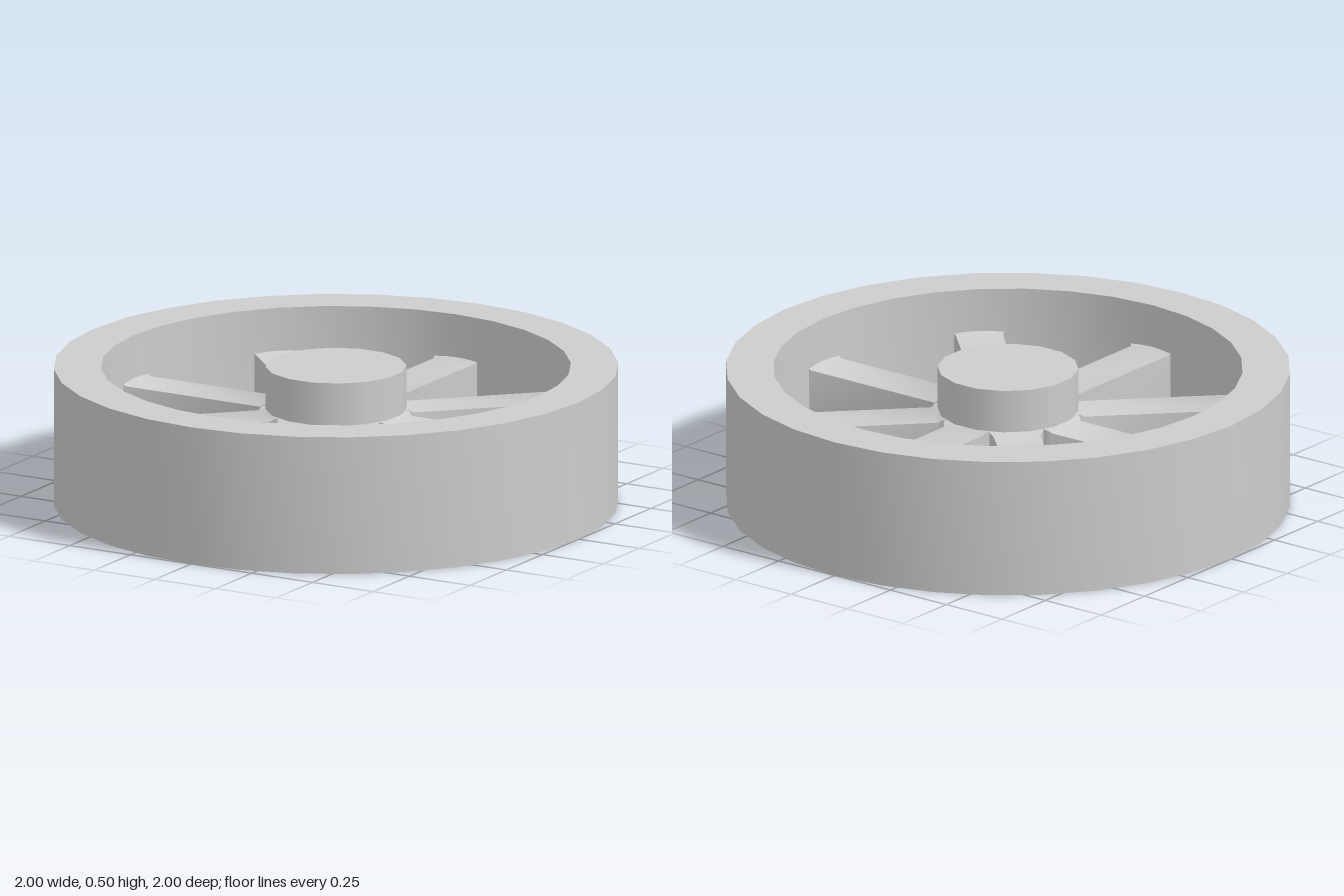
import * as THREE from 'three';
import { toCreasedNormals } from 'three/addons/utils/BufferGeometryUtils.js';

const HEIGHT = 0.5, RIM_OUTER = 1, RIM_INNER = 0.832, HUB_RADIUS = 0.25;
const SPOKE_SIZE = 0.166, SPOKE_COUNT = 8;

// Square bar along +z whose ends flare slightly into the hub and the rim
function spokeGeometry() {
  const stations = [[0.2, 0.012], [0.247, 0.012], [0.262, 0], [0.815, 0], [0.828, 0.01], [0.84, 0.01]];
  const geo = new THREE.BoxGeometry(SPOKE_SIZE, SPOKE_SIZE, 1, 1, 1, stations.length - 1);
  const pos = geo.attributes.position;
  for (let i = 0; i < pos.count; i++) {
    const [z, flare] = stations[Math.round((pos.getZ(i) + 0.5) * (stations.length - 1))];
    pos.setXYZ(i,
      pos.getX(i) + Math.sign(pos.getX(i)) * flare,
      pos.getY(i) + Math.sign(pos.getY(i)) * flare, z);
  }
  return toCreasedNormals(geo, 0.9);
}

export function createModel() {
  const wheel = new THREE.Group();
  wheel.name = 'wheel';
  const grey = new THREE.MeshStandardMaterial({ color: 0xcccccc });
  grey.name = 'light grey';

  const add = (name, geometry) => {
    const mesh = new THREE.Mesh(geometry, grey);
    mesh.name = name;
    wheel.add(mesh);
    return mesh;
  };

  // Rim: rectangular section turned around the axle
  const section = [
    [RIM_INNER, 0], [RIM_OUTER, 0], [RIM_OUTER, HEIGHT], [RIM_INNER, HEIGHT], [RIM_INNER, 0],
  ].map(([r, y]) => new THREE.Vector2(r, y));
  add('rim', toCreasedNormals(new THREE.LatheGeometry(section, 32), 0.6));

  // Hub: solid drum, full height of the wheel
  const hub = add('hub', new THREE.CylinderGeometry(HUB_RADIUS, HUB_RADIUS, HEIGHT, 16));
  hub.position.y = HEIGHT / 2;
  hub.rotation.y = Math.PI / 16;

  // Spokes at mid height
  const spoke = spokeGeometry();
  for (let i = 0; i < SPOKE_COUNT; i++) {
    const bar = add(`spoke${i + 1}`, spoke);
    bar.position.y = HEIGHT / 2;
    bar.rotation.y = (i / SPOKE_COUNT) * Math.PI * 2;
  }
  return wheel;
}
